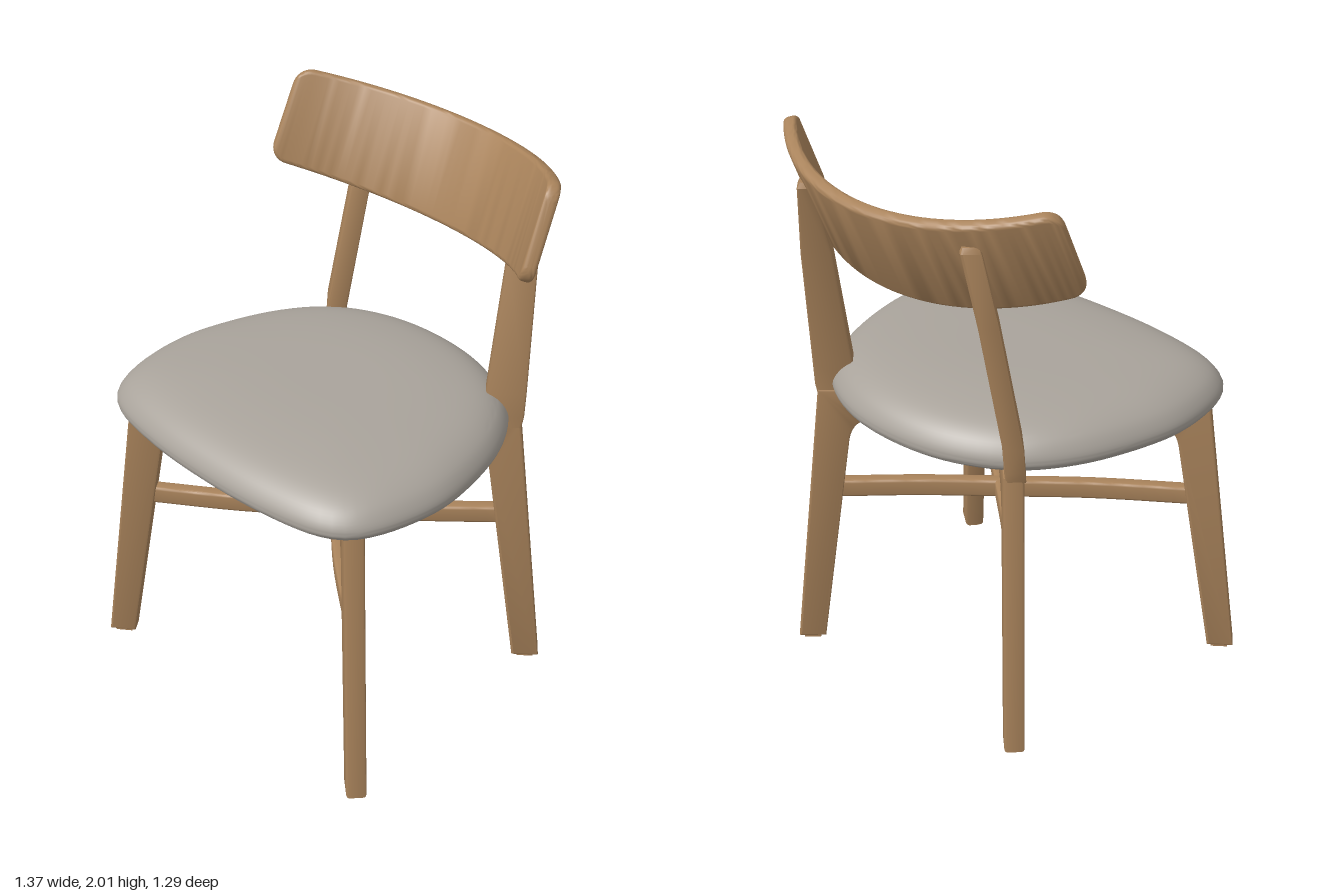
import * as THREE from 'three';
import { toCreasedNormals, mergeVertices } from 'three/addons/utils/BufferGeometryUtils.js';

const V = (x, y, z) => new THREE.Vector3(x, y, z);

// Skin a list of equal-length rings and close both ends.
function loft(rings, crease) {
  const n = rings[0].length, pos = [], idx = [];
  rings.forEach(r => r.forEach(p => pos.push(p.x, p.y, p.z)));
  for (let i = 0; i < rings.length - 1; i++) {
    for (let j = 0; j < n; j++) {
      const a = i * n + j, b = i * n + (j + 1) % n;
      idx.push(a, b, b + n, a, b + n, a + n);
    }
  }
  [0, rings.length - 1].forEach(i => {
    const c = V(0, 0, 0), id = pos.length / 3;
    rings[i].forEach(p => c.addScaledVector(p, 1 / n));
    pos.push(c.x, c.y, c.z);
    for (let j = 0; j < n; j++) {
      const a = i * n + j, b = i * n + (j + 1) % n;
      if (i) idx.push(a, b, id); else idx.push(b, a, id);
    }
  });
  // Turn the faces outward by the sign of the enclosed volume.
  let volume = 0;
  const at = k => V(pos[3 * k], pos[3 * k + 1], pos[3 * k + 2]);
  for (let k = 0; k < idx.length; k += 3) volume += at(idx[k]).dot(at(idx[k + 1]).cross(at(idx[k + 2])));
  if (volume < 0) idx.reverse();
  const g = new THREE.BufferGeometry();
  g.setAttribute('position', new THREE.Float32BufferAttribute(pos, 3));
  g.setIndex(idx);
  return toCreasedNormals(g, crease);
}

// Rounded rectangle outline as [a, b] pairs.
function roundRect(w, h, r, steps) {
  const out = [];
  [[1, 1], [-1, 1], [-1, -1], [1, -1]].forEach(([sx, sy], q) => {
    for (let i = 0; i <= steps; i++) {
      const t = (q + i / steps) * Math.PI / 2;
      out.push([sx * (w / 2 - r) + r * Math.cos(t), sy * (h / 2 - r) + r * Math.sin(t)]);
    }
  });
  return out;
}

const HUB_Z = 0.03;
const FRONT = { dx: 0.78, dz: 0.62, inFoot: 0.755, outFoot: 0.85, knee: 0.622, top: 0.725 };
const BACK = { dx: 0.725, dz: -0.69, inFoot: 0.65, outFoot: 0.748, knee: 0.54, top: 0.645 };

// One leg with its half of the crossing seat rail, cut from a board.
function legGeometry(l) {
  const s = new THREE.Shape();
  s.moveTo(0, 0.905);
  s.lineTo(l.knee - 0.1, 0.922);
  s.quadraticCurveTo(l.knee - 0.015, 0.925, l.knee, 0.84);
  s.lineTo(l.inFoot, 0.012);
  s.lineTo(l.outFoot, 0.012);
  s.lineTo(l.top, 1.04);
  s.lineTo(0, 1.04);
  s.closePath();
  const b = 0.009;
  const g = new THREE.ExtrudeGeometry(s, {
    depth: 0.07 - 2 * b, bevelEnabled: true, bevelThickness: b, bevelSize: b,
    bevelOffset: -b, bevelSegments: 2, curveSegments: 8
  });
  g.translate(0, 0, -0.035 + b);
  return toCreasedNormals(g, 0.5);
}

// Tapered back post, leaning back from the rear leg to the backrest.
function postGeometry(side) {
  const levels = [ // y, x, z, depth
    [1.02, 0.436, -0.376, 0.10], [1.06, 0.433, -0.376, 0.12], [1.15, 0.425, -0.377, 0.14],
    [1.6, 0.396, -0.459, 0.107], [1.86, 0.377, -0.517, 0.052], [1.88, 0.376, -0.518, 0.035]
  ];
  return loft(levels.map(([y, x, z, a], i) =>
    roundRect(a, i === 5 ? 0.055 : 0.07, 0.009, 2).map(([d, p]) =>
      V(side * (x + BACK.dx * d - BACK.dz * p), y, z + BACK.dz * d + BACK.dx * p))), 0.5);
}

// Bent backrest board, tilted back.
function backrestGeometry() {
  const R = 0.847, span = 0.822, thick = 0.048, tilt = 0.415, corner = 0.06, rings = [];
  const c = Math.cos(tilt), s = Math.sin(tilt), N = 64;
  for (let i = 0; i <= N; i++) {
    const t = Math.sin((i / N - 0.5) * Math.PI) * span; // denser towards the ends
    const k = Math.abs(t) / span, over = Math.max(0, corner - (span - Math.abs(t)) * R);
    const cut = corner - Math.sqrt(Math.max(0, corner * corner - over * over));
    const top = 0.185 - 0.028 * k * k - cut, bottom = -0.185 + cut;
    const edge = Math.max(0, 0.014 - (span - Math.abs(t)) * R);
    const w = thick - 2 * (0.014 - Math.sqrt(0.014 * 0.014 - edge * edge));
    rings.push(roundRect(w, top - bottom, Math.min(0.016, w * 0.45), 4).map(([d, h]) => {
      const v = h + (top + bottom) / 2, r = R + d;
      const n = R - r * Math.cos(t);
      const taper = 1 - 0.05 * (v + 0.185) * k;
      return V(r * Math.sin(t) * taper, 1.765 + v * c + n * s, -0.55 - v * s + n * c);
    }));
  }
  return loft(rings, 0.8);
}

// Padded seat: a plan outline swept up a cushion profile.
function seatGeometry() {
  const half = [[0.27, 0.632], [0.5, 0.585], [0.585, 0.53], [0.64, 0.43], [0.675, 0.22],
    [0.655, 0.05], [0.57, -0.2], [0.44, -0.375], [0.24, -0.485]];
  const pts = [[0, 0.645], ...half, [0, -0.52], ...half.slice().reverse().map(([x, z]) => [-x, z])];
  const outline = new THREE.CatmullRomCurve3(pts.map(([x, z]) => V(x, 0, z)), true, 'centripetal').getSpacedPoints(96);
  outline.pop();
  const profile = new THREE.CatmullRomCurve3([[0.93, 1.03], [0.975, 1.033], [0.997, 1.05], [0.997, 1.075],
    [0.96, 1.115], [0.9, 1.145], [0.8, 1.17], [0.6, 1.19], [0.35, 1.199], [0.05, 1.2]].map(([k, y]) => V(k, y, 0)));
  const rings = profile.getPoints(36).map(q =>
    outline.map(p => V(p.x * q.x, q.y, HUB_Z + (p.z - HUB_Z) * q.x)));
  return loft(rings, 0.9);
}

// Stretcher bar, gently bowed from a front leg to the opposite back leg.
function stretcherGeometry(side) {
  const curve = new THREE.CatmullRomCurve3([
    V(side * FRONT.dx * 0.68, 0, HUB_Z + FRONT.dz * 0.68), V(side * 0.25, 0, HUB_Z + 0.213),
    V(0, 0, HUB_Z - 0.005), V(-side * 0.22, 0, HUB_Z - 0.2),
    V(-side * BACK.dx * 0.585, 0, HUB_Z + BACK.dz * 0.585)]);
  const rings = [];
  for (let i = 0; i <= 24; i++) {
    const p = curve.getPoint(i / 24), t = curve.getTangent(i / 24);
    rings.push(roundRect(0.05, 0.066, 0.01, 3).map(([a, h]) => V(p.x + t.z * a, 0.633 + h, p.z - t.x * a)));
  }
  return loft(rings, 0.6);
}

export function createModel() {
  const group = new THREE.Group();
  group.name = 'chair';
  const wood = new THREE.MeshStandardMaterial({ color: 0xa9835b });
  wood.name = 'oak wood';
  const fabric = new THREE.MeshStandardMaterial({ color: 0xa9a39b });
  fabric.name = 'grey fabric';
  const add = (name, geometry, material) => {
    const m = new THREE.Mesh(geometry, material);
    m.name = name;
    group.add(m);
    return m;
  };

  add('seat', seatGeometry(), fabric);
  add('backrest', backrestGeometry(), wood);
  [['left', 1], ['right', -1]].forEach(([label, side]) => {
    [['FrontLeg', FRONT], ['BackLeg', BACK]].forEach(([part, l]) => {
      const turn = Math.atan2(-l.dz, side * l.dx);
      const leg = add(label + part, legGeometry(l), wood);
      leg.position.z = HUB_Z;
      leg.rotation.y = turn;
      // small foot pad under the leg
      const mid = (l.inFoot + l.outFoot) / 2;
      const pad = add(label + part + 'Pad', new THREE.BoxGeometry(0.06, 0.02, 0.042), wood);
      pad.position.set(side * l.dx * mid, 0.01, HUB_Z + l.dz * mid);
      pad.rotation.y = turn;
    });
    add(label + 'BackPost', postGeometry(side), wood);
    add(label + 'Stretcher', stretcherGeometry(side), wood);
  });
  return group;
}
